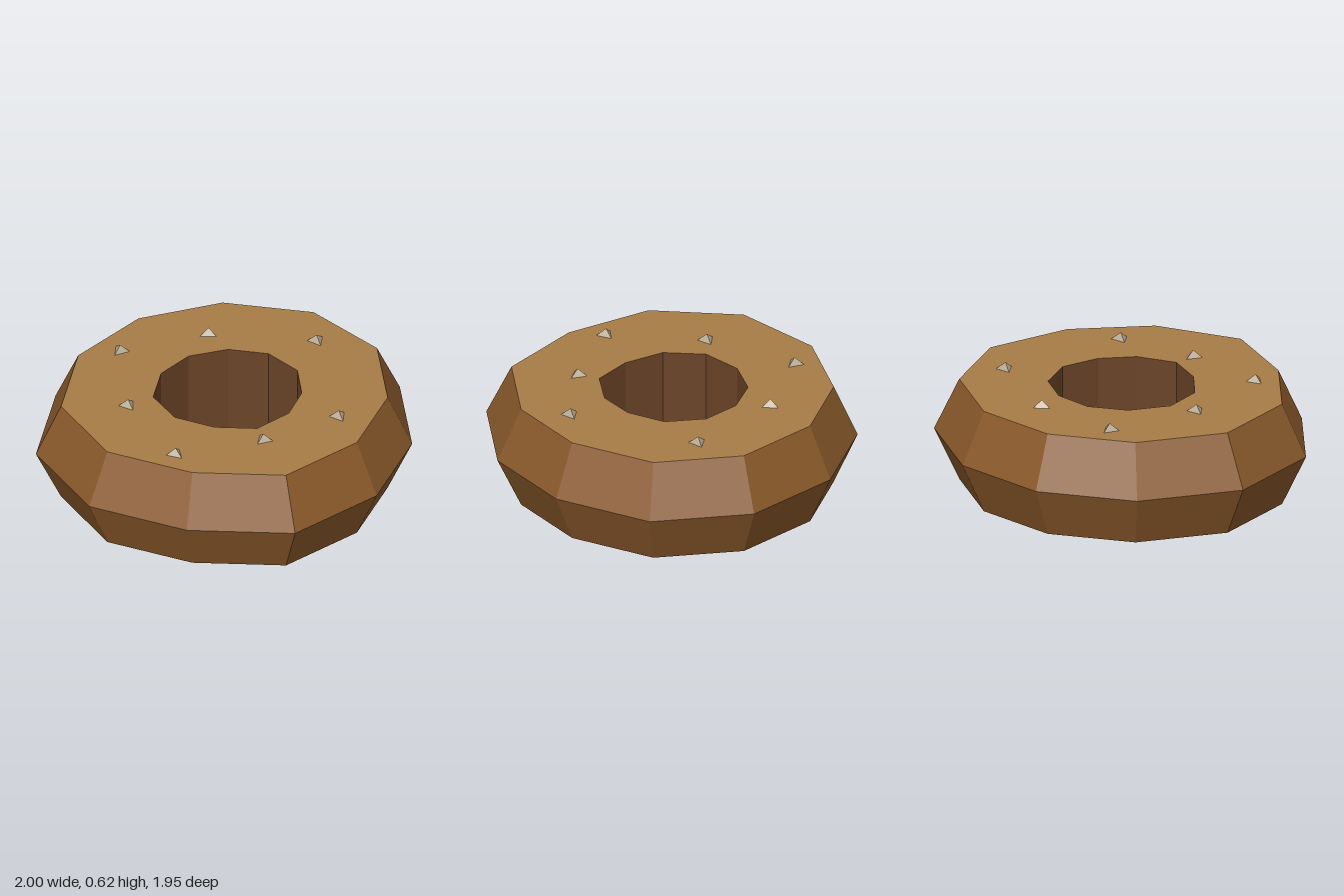
import * as THREE from 'three';

const HEIGHT = 0.575, RIM_SCALE = 0.868;

// Eleven-sided outlines [x, z], running from +x towards -z
const OUTER = [[1, 0], [0.88, -0.555], [0.45, -0.925], [-0.12, -0.98], [-0.62, -0.75], [-0.95, -0.295],
  [-1, 0.295], [-0.665, 0.785], [-0.12, 0.97], [0.46, 0.945], [0.86, 0.53]];
const INNER = [[0.405, 0], [0.36, -0.22], [0.19, -0.37], [-0.03, -0.392], [-0.235, -0.305], [-0.365, -0.12],
  [-0.385, 0.115], [-0.25, 0.305], [-0.03, 0.382], [0.2, 0.372], [0.355, 0.205]];

const ring = (outline, y, s = 1) => outline.map(([x, z]) => [x * s, y, z * s]);

// Flat quads between consecutive pairs of rings
function bands(...pairs) {
  const pos = [];
  for (const [a, b] of pairs) {
    for (let i = 0; i < a.length; i++) {
      const j = (i + 1) % a.length;
      pos.push(...a[i], ...a[j], ...b[j], ...a[i], ...b[j], ...b[i]);
    }
  }
  const g = new THREE.BufferGeometry();
  g.setAttribute('position', new THREE.Float32BufferAttribute(pos, 3));
  g.computeVertexNormals();
  return g;
}

function material(name, color) {
  const m = new THREE.MeshStandardMaterial({ color, flatShading: true });
  m.name = name;
  return m;
}

export function createModel() {
  const model = new THREE.Group();
  model.name = 'stoneStuddedRing';
  const bark = material('brown', 0x8b5a2b);
  const tan = material('tan', 0xa67c47);
  const dark = material('darkBrown', 0x6b4428);
  const stone = material('paleStone', 0xb5a88f);

  const add = (name, geometry, mat) => {
    const mesh = new THREE.Mesh(geometry, mat);
    mesh.name = name;
    model.add(mesh);
    return mesh;
  };

  const low = ring(OUTER, 0, RIM_SCALE);
  const mid = ring(OUTER, HEIGHT / 2);
  const high = ring(OUTER, HEIGHT, RIM_SCALE);
  const holeLow = ring(INNER, 0);
  const holeHigh = ring(INNER, HEIGHT);

  // Bevelled outside with the underside, pale top, dark hole
  add('outerShell', bands([low, mid], [mid, high], [holeLow, low]), bark);
  add('topFace', bands([high, holeHigh]), tan);
  add('holeWall', bands([holeHigh, holeLow]), dark);

  // Small three-sided studs: x, z, heading of one corner in degrees from +z
  const studs = [[-0.15, -0.535, 185], [0.435, -0.52, 270], [-0.605, -0.32, 92], [-0.51, 0.215, 275],
    [0.625, 0.215, 272], [0.245, 0.485, 87], [-0.21, 0.67, 285]];
  const studGeometry = new THREE.ConeGeometry(0.052, 0.04, 3);
  studs.forEach(([x, z, heading], i) => {
    const stud = add(`stud${i + 1}`, studGeometry, stone);
    stud.position.set(x, HEIGHT + 0.02, z);
    stud.rotation.y = THREE.MathUtils.degToRad(heading);
  });
  return model;
}
